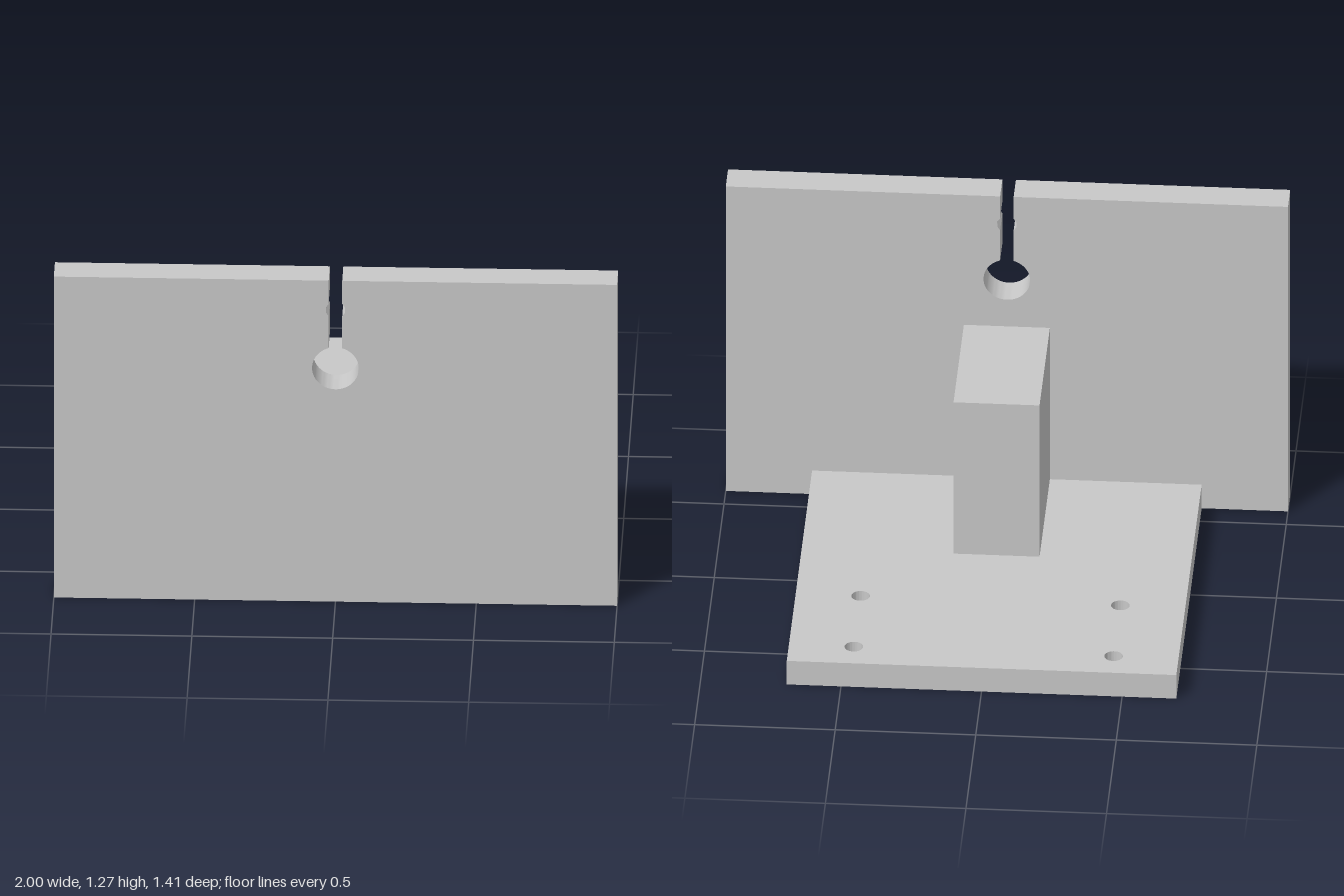
import * as THREE from 'three';
import { toCreasedNormals } from 'three/addons/utils/BufferGeometryUtils.js';

const WIDTH = 1, HEIGHT = 1.268;         // front panel half width and height
const BACK = -0.705, PANEL = 0.589, FRONT = 0.705; // z of base back, panel back, panel front
const BASE_W = 0.693, BASE_H = 0.098;

function extrude(shape, depth) {
  const geo = new THREE.ExtrudeGeometry(shape, { depth, bevelEnabled: false, curveSegments: 32 });
  return toCreasedNormals(geo, 0.5);
}

// Upright panel outline with a keyhole slot open at the top
function panelShape() {
  const slot = 0.024, keyR = 0.083, keyY = 0.922;
  const b = Math.acos(slot / keyR);
  // Small faceted notch on each side of the slot, from top to bottom
  const notch = [[slot, 1.177], [0.034, 1.162], [0.034, 1.142], [slot, 1.127]];
  const s = new THREE.Shape();
  s.moveTo(-WIDTH, 0);
  s.lineTo(WIDTH, 0);
  s.lineTo(WIDTH, HEIGHT);
  s.lineTo(slot, HEIGHT);
  for (const [x, y] of notch) s.lineTo(x, y);
  s.absarc(0, keyY, keyR, b, -Math.PI - b, true);
  for (const [x, y] of notch.reverse()) s.lineTo(-x, y);
  s.lineTo(-slot, HEIGHT);
  s.lineTo(-WIDTH, HEIGHT);
  s.closePath();
  return s;
}

// Base outline drawn in x and -z, with four screw holes
function baseShape() {
  const s = new THREE.Shape();
  s.moveTo(-BASE_W, -PANEL);
  s.lineTo(BASE_W, -PANEL);
  s.lineTo(BASE_W, -BACK);
  s.lineTo(-BASE_W, -BACK);
  s.closePath();
  for (const x of [-0.462, 0.462]) {
    for (const z of [-0.592, -0.247]) {
      s.holes.push(new THREE.Path().absarc(x, -z, 0.033, 0, Math.PI * 2, true));
    }
  }
  return s;
}

export function createModel() {
  const grey = new THREE.MeshStandardMaterial({ color: 0xc8c8c8 });
  grey.name = 'lightGrey';
  const model = new THREE.Group();
  model.name = 'slottedBracket';
  const add = (name, geo) => {
    const mesh = new THREE.Mesh(geo, grey);
    mesh.name = name;
    model.add(mesh);
    return mesh;
  };

  add('frontPanel', extrude(panelShape(), FRONT - PANEL)).position.z = PANEL;
  add('basePlate', extrude(baseShape(), BASE_H).rotateX(-Math.PI / 2));

  // Solid block bracing the panel against the base
  const top = 0.728, back = 0.062;
  add('supportBlock', new THREE.BoxGeometry(0.306, top - BASE_H, PANEL - back))
    .position.set(0, (top + BASE_H) / 2, (PANEL + back) / 2);

  return model;
}
